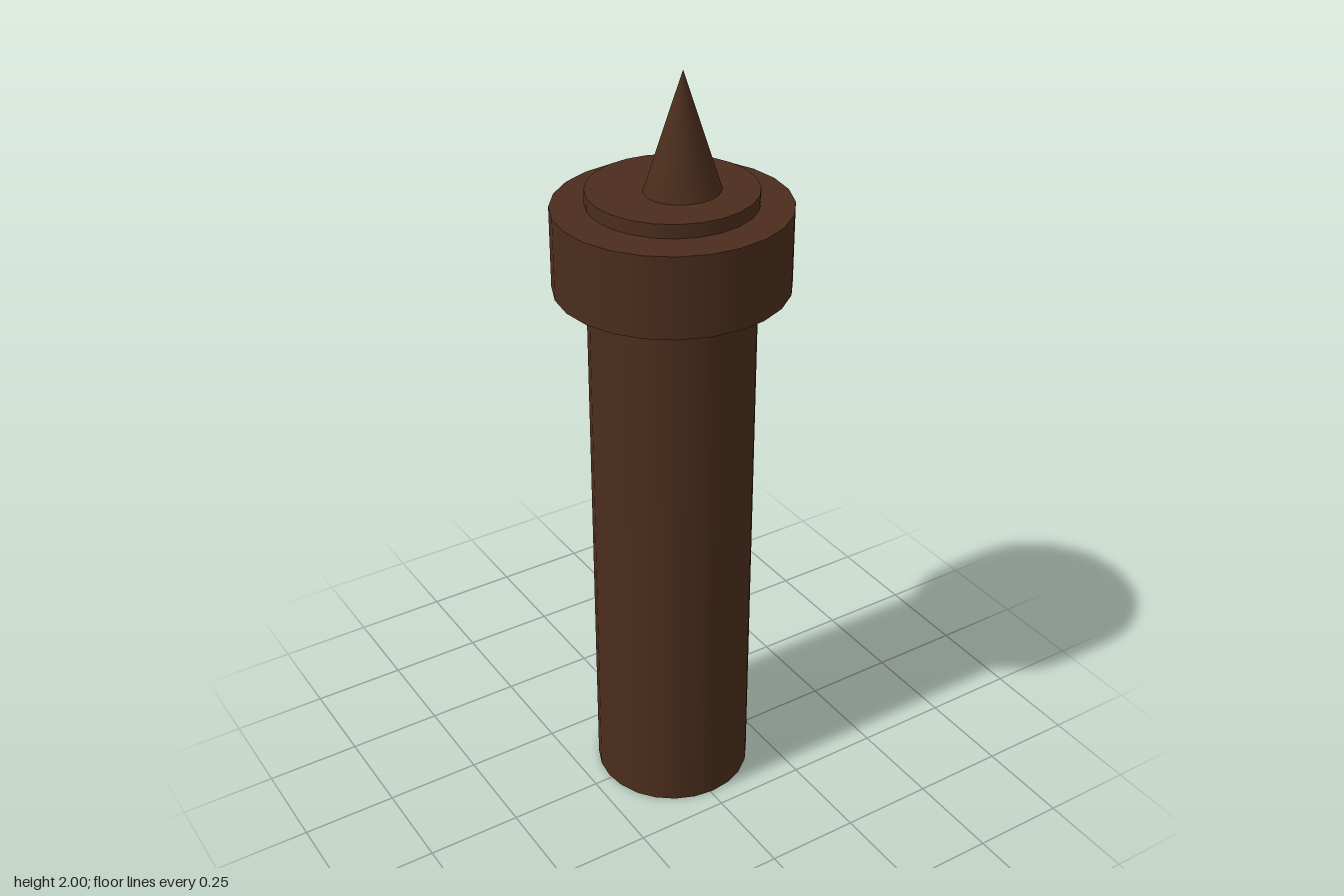
import * as THREE from 'three';

export function createModel() {
  const group = new THREE.Group();
  const wood = new THREE.MeshStandardMaterial({ color: 0x4b2d1c });

  // Upright round part between two heights, centred on (x, z)
  function addRound(name, topRadius, radius, y0, y1, x, z, depthScale = 1) {
    const geometry = new THREE.CylinderGeometry(topRadius, radius, y1 - y0, 24);
    geometry.scale(1, 1, depthScale);
    const mesh = new THREE.Mesh(geometry, wood);
    mesh.name = name;
    mesh.position.set(x, (y0 + y1) / 2, z);
    group.add(mesh);
  }

  // Long shaft, passing through the collar
  addRound('shaft', 0.208, 0.208, 0, 1.71, 0.008, -0.012);
  // Wide collar, slightly flattened front to back
  addRound('collar', 0.291, 0.291, 1.468, 1.675, 0, 0, 0.984);
  // Pointed tip, set slightly off centre
  addRound('tip', 0, 0.0955, 1.71, 2, 0.022, 0.01, 0.918);

  return group;
}
